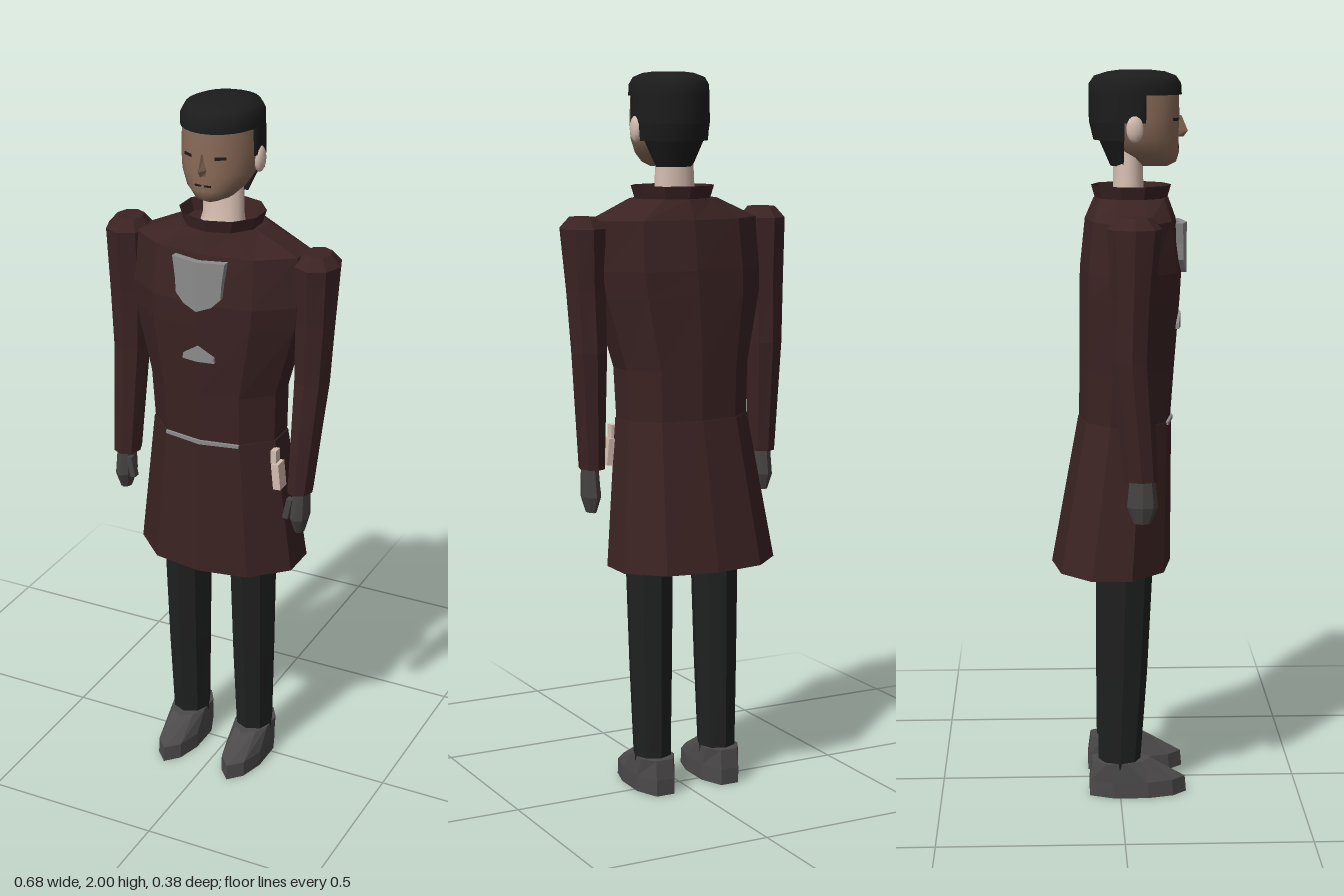
import * as THREE from 'three';

const mat = (name, color) => {
  const m = new THREE.MeshStandardMaterial({ color });
  m.name = name;
  return m;
};

// Unit outlines, listed from +x round to +z
const coatOutline = [[1, 0.3], [0.6, 0.85], [0, 1], [-0.6, 0.85], [-1, 0.3],
  [-1, -0.35], [-0.62, -0.85], [0, -1], [0.62, -0.85], [1, -0.35]];
const shoeOutline = [[1, -0.5], [1, 0.2], [0.65, 0.72], [0, 1], [-0.65, 0.72],
  [-1, 0.2], [-1, -0.5], [-0.5, -1], [0.5, -1]];
const round = (n) => Array.from({ length: n }, (_, i) => {
  const a = (i / n) * Math.PI * 2;
  return [Math.cos(a), Math.sin(a)];
});

// Closed skin through rings [y, x0, x1, z0, z1], bottom to top; zMax cuts off the front
function loft(outline, rings, smooth = false, zMax = Infinity) {
  const n = outline.length, pos = [], idx = [];
  const addRing = ([y, x0, x1, z0, z1]) => outline.forEach(([u, v]) => pos.push(
    (x0 + x1) / 2 + u * (x1 - x0) / 2, y, Math.min(zMax, (z0 + z1) / 2 + v * (z1 - z0) / 2)));
  rings.forEach(addRing);
  for (let j = 0; j < rings.length - 1; j++) {
    for (let i = 0; i < n; i++) {
      const a = j * n + i, b = j * n + (i + 1) % n;
      idx.push(a, a + n, b, b, a + n, b + n);
    }
  }
  [rings[0], rings[rings.length - 1]].forEach((ring, top) => {
    const s = pos.length / 3;
    addRing(ring);
    for (let i = 1; i < n - 1; i++) idx.push(s, top ? s + i + 1 : s + i, top ? s + i : s + i + 1);
  });
  let g = new THREE.BufferGeometry();
  g.setAttribute('position', new THREE.Float32BufferAttribute(pos, 3));
  g.setIndex(idx);
  if (!smooth) g = g.toNonIndexed();
  g.computeVertexNormals();
  return g;
}

export function createModel() {
  const model = new THREE.Group();
  model.name = 'standingMan';
  const coat = mat('coat maroon', 0x3c2323);
  const cloth = mat('trouser black', 0x1f2020);
  const hair = mat('hair black', 0x1c1c1c);
  const shoe = mat('shoe grey', 0x4c4a4a);
  const glove = mat('glove grey', 0x464442);
  const face = mat('face brown', 0x8a6b58);
  const pale = mat('pale skin', 0xd6bdb0);
  const metal = mat('badge grey', 0x8c8c8c);
  const dark = mat('eye dark', 0x241a16);
  const collarMat = coat.clone();
  collarMat.side = THREE.DoubleSide;

  const add = (name, geometry, material, parent = model) => {
    const m = new THREE.Mesh(geometry, material);
    m.name = name;
    parent.add(m);
    return m;
  };
  const box = (name, w, h, d, x, y, z, material) => {
    const m = add(name, new THREE.BoxGeometry(w, h, d), material);
    m.position.set(x, y, z);
    return m;
  };

  // Coat: flared skirt and chest
  add('coatSkirt', loft(coatOutline, [
    [0.65, -0.26, 0.21, -0.187, 0.143], [1.06, -0.2, 0.17, -0.112, 0.145]]), coat);
  add('coatChest', loft(coatOutline, [
    [1.055, -0.197, 0.167, -0.11, 0.142], [1.2, -0.203, 0.172, -0.108, 0.152],
    [1.4, -0.243, 0.228, -0.107, 0.168], [1.47, -0.245, 0.24, -0.106, 0.172],
    [1.605, -0.235, 0.235, -0.092, 0.155], [1.66, -0.115, 0.12, -0.068, 0.135]]), coat);

  // Open flared collar
  const collar = add('collar', new THREE.CylinderGeometry(0.117, 0.103, 0.045, 10, 1, true)
    .toNonIndexed(), collarMat);
  collar.geometry.computeVertexNormals();
  collar.position.set(0.002, 1.672, 0.034);
  collar.scale.z = 0.93;

  // Arms with domed shoulders, and gloved hands
  const arms = [
    ['right', [[0.935, -0.328, -0.252, 0.005, 0.095], [1.25, -0.334, -0.232, -0.03, 0.078],
      [1.42, -0.34, -0.222, -0.03, 0.085], [1.6, -0.342, -0.217, -0.04, 0.104],
      [1.63, -0.315, -0.24, -0.012, 0.075]], -0.322, -0.262, 0.82],
    ['left', [[0.925, 0.21, 0.28, 0.005, 0.095], [1.25, 0.212, 0.313, -0.03, 0.078],
      [1.42, 0.213, 0.326, -0.03, 0.085], [1.585, 0.213, 0.339, -0.04, 0.104],
      [1.615, 0.238, 0.312, -0.012, 0.075]], 0.222, 0.278, 0.802]];
  for (const [side, rings, x0, x1, y] of arms) {
    add(side + 'Arm', loft(round(8), rings), coat);
    add(side + 'Hand', loft(round(8), [
      [y, x0 + 0.012, x1 - 0.018, 0.03, 0.075], [y + 0.045, x0, x1 - 0.005, 0.012, 0.094],
      [y + 0.135, x0 + 0.006, x1 - 0.006, 0.02, 0.085]]), glove);
    const s = side === 'right' ? 1 : -1;
    const thumb = box(side + 'Thumb', 0.016, 0.06, 0.02,
      s > 0 ? x1 : x0, y + 0.075, 0.078, glove);
    thumb.rotation.z = s * 0.2;
  }

  // Legs and pointed shoes
  for (const [side, cx] of [['right', -0.119], ['left', 0.087]]) {
    add(side + 'Leg', loft(round(8), [
      [0.07, cx - 0.053, cx + 0.053, -0.06, 0.055], [0.35, cx - 0.06, cx + 0.06, -0.062, 0.075],
      [0.7, cx - 0.067, cx + 0.067, -0.062, 0.092]]), cloth);
    add(side + 'Shoe', loft(shoeOutline, [
      [0, cx - 0.055, cx + 0.055, -0.085, 0.186], [0.045, cx - 0.055, cx + 0.055, -0.085, 0.182],
      [0.1, cx - 0.052, cx + 0.052, -0.078, 0.085]]), shoe);
  }

  // Front plates: a mirrored half outline, swept back along the chest
  const plate = (name, half, cx, zFront, depth, slope) => {
    const group = new THREE.Group();
    group.name = name;
    group.position.set(cx, 0, zFront - depth);
    const g = new THREE.ExtrudeGeometry(
      new THREE.Shape(half.map(([x, y]) => new THREE.Vector2(x, y))), { depth, bevelEnabled: false });
    g.applyMatrix4(new THREE.Matrix4().set(1, 0, 0, 0, 0, 1, 0, 0, -slope, 0, 1, 0, 0, 0, 0, 1));
    g.computeVertexNormals();
    for (const s of [1, -1]) add(name + 'Half', g, metal, group).scale.x = s;
    model.add(group);
  };
  plate('chestShield', [[0, 1.455], [0.04, 1.47], [0.065, 1.495], [0.068, 1.54],
    [0.076, 1.595], [0, 1.593]], -0.002, 0.186, 0.02, 0.2);
  plate('chestBadge', [[0, 1.305], [0.047, 1.305], [0.045, 1.32], [0, 1.35]], -0.008, 0.17, 0.009, 0.16);
  plate('beltStrip', [[0, 1.05], [0.11, 1.052], [0.11, 1.061], [0, 1.061]], -0.015, 0.149, 0.008, 0.17);

  // Small device on the left hip
  box('hipDevice', 0.022, 0.075, 0.04, 0.186, 0.965, 0.065, pale).rotation.z = 0.1;
  box('hipDeviceTop', 0.016, 0.04, 0.025, 0.175, 1.02, 0.065, pale);

  // Neck and head
  add('neck', loft(round(14), [
    [1.62, -0.072, 0.068, -0.025, 0.09], [1.68, -0.058, 0.058, -0.016, 0.068],
    [1.79, -0.052, 0.056, -0.016, 0.066]], true), pale);
  add('head', loft(round(20), [
    [1.744, -0.018, 0.034, 0.045, 0.135], [1.755, -0.042, 0.058, 0.02, 0.156],
    [1.78, -0.068, 0.084, -0.01, 0.164], [1.82, -0.09, 0.106, -0.045, 0.163],
    [1.87, -0.095, 0.111, -0.065, 0.165], [1.945, -0.093, 0.109, -0.07, 0.163]], true), face);
  add('nose', loft([[1, -1], [0, 1], [-1, -1]], [
    [1.822, -0.008, 0.024, 0.15, 0.176], [1.838, -0.008, 0.024, 0.15, 0.188],
    [1.88, 0.002, 0.014, 0.15, 0.17]]), face);
  box('mouth', 0.044, 0.005, 0.006, 0.008, 1.795, 0.16, dark);
  for (const s of [1, -1]) {
    const eye = box(s > 0 ? 'leftEye' : 'rightEye', 0.03, 0.008, 0.006, 0.008 + s * 0.045, 1.87, 0.15, dark);
    eye.rotation.y = s * 0.5;
    const ear = add(s > 0 ? 'leftEar' : 'rightEar', new THREE.SphereGeometry(1, 10, 8), pale);
    ear.scale.set(0.014, 0.036, 0.024);
    ear.position.set(0.008 + s * 0.103, 1.847, 0.04);
  }

  // Hair: cap, sideburns and nape
  add('hairCap', loft(round(24), [
    [1.935, -0.098, 0.114, -0.081, 0.171], [1.965, -0.097, 0.113, -0.08, 0.169],
    [1.985, -0.086, 0.102, -0.066, 0.155], [1.996, -0.06, 0.076, -0.03, 0.125],
    [2, -0.028, 0.046, 0, 0.09]], true), hair);
  add('hairSides', loft(round(24), [
    [1.862, -0.1, 0.116, -0.08, 0.168], [1.94, -0.098, 0.114, -0.081, 0.17]], true, 0.07), hair);
  add('hairBack', loft(round(24), [
    [1.815, -0.096, 0.112, -0.068, 0.165], [1.865, -0.1, 0.116, -0.08, 0.168]], true, 0.012), hair);
  add('hairNape', loft(round(16), [
    [1.745, -0.048, 0.064, -0.022, 0.07], [1.82, -0.085, 0.101, -0.055, 0.12]], true, 0.012), hair);

  return model;
}
